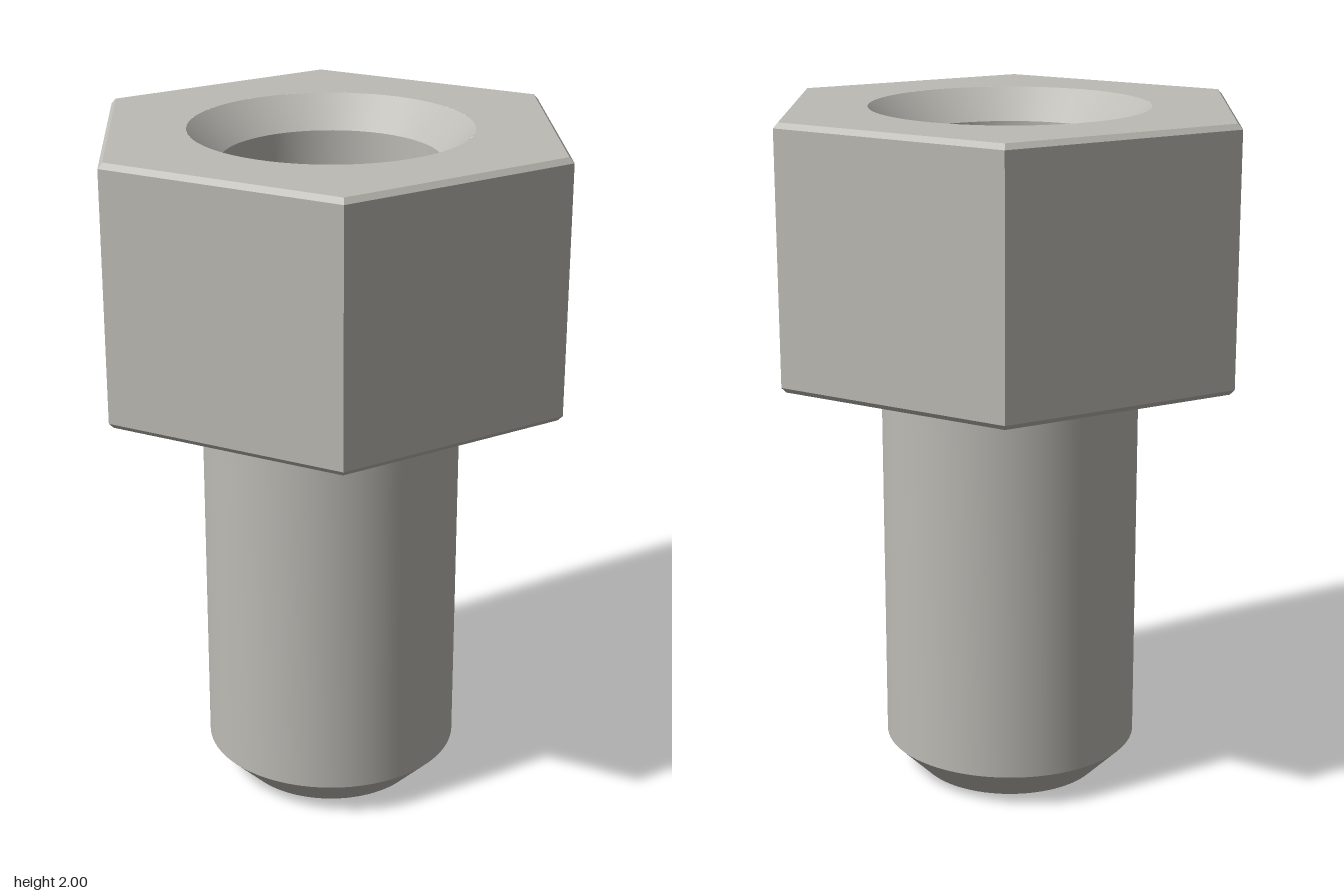
import * as THREE from 'three';
import { toCreasedNormals } from 'three/addons/utils/BufferGeometryUtils.js';

const HEX_R = 0.72, BEVEL = 0.015, HEAD_BOTTOM = 1.255, HEAD_TOP = 2;
const SHANK_R = 0.375, BORE_R = 0.31, MOUTH_R = 0.4, BORE_FLOOR = 1.255;
const SEGMENTS = 96;

export function createModel() {
  const steel = new THREE.MeshStandardMaterial({ color: 0xbdbbb5 });
  steel.name = 'steel grey';
  const model = new THREE.Group();
  model.name = 'hexBolt';

  const add = (name, geometry, parent = model) => {
    const mesh = new THREE.Mesh(toCreasedNormals(geometry, Math.PI / 6), steel);
    mesh.name = name;
    parent.add(mesh);
    return mesh;
  };
  const turned = (points) =>
    new THREE.LatheGeometry(points.map(([r, y]) => new THREE.Vector2(r, y)), SEGMENTS);

  // Shank with a chamfered tip, listed from the bottom up
  add('shank', turned([[0, 0], [0.272, 0], [SHANK_R, 0.103], [SHANK_R, HEAD_BOTTOM]]));

  // Countersunk blind bore, listed from the top down so it faces inwards
  add('bore', turned([[MOUTH_R, HEAD_TOP], [BORE_R, HEAD_TOP - 0.09], [BORE_R, BORE_FLOOR], [0, BORE_FLOOR]]));

  // Six-sided head: narrow bevel, straight flats, narrow bevel
  const head = new THREE.Group();
  head.name = 'head';
  model.add(head);
  const faceR = HEX_R - BEVEL;
  const band = (name, topR, bottomR, y0, y1) => {
    const geometry = new THREE.CylinderGeometry(topR, bottomR, y1 - y0, 6, 1, true);
    geometry.rotateY(Math.PI / 6).translate(0, (y0 + y1) / 2, 0);
    add(name, geometry, head);
  };
  band('lowerBevel', HEX_R, faceR, HEAD_BOTTOM, HEAD_BOTTOM + BEVEL);
  band('headFlats', HEX_R, HEX_R, HEAD_BOTTOM + BEVEL, HEAD_TOP - BEVEL);
  band('upperBevel', faceR, HEX_R, HEAD_TOP - BEVEL, HEAD_TOP);

  // Flat hexagonal faces with a round opening
  const face = (name, holeR, y, tilt) => {
    const shape = new THREE.Shape();
    for (let i = 0; i < 6; i++) {
      const a = (i * Math.PI) / 3;
      shape[i ? 'lineTo' : 'moveTo'](faceR * Math.cos(a), faceR * Math.sin(a));
    }
    shape.closePath();
    shape.holes.push(new THREE.Path().absarc(0, 0, holeR, 0, Math.PI * 2, true));
    const geometry = new THREE.ShapeGeometry(shape, SEGMENTS);
    geometry.rotateX(tilt).translate(0, y, 0);
    add(name, geometry, head);
  };
  face('headTop', MOUTH_R, HEAD_TOP, -Math.PI / 2);
  face('headUnderside', SHANK_R, HEAD_BOTTOM, Math.PI / 2);

  return model;
}
